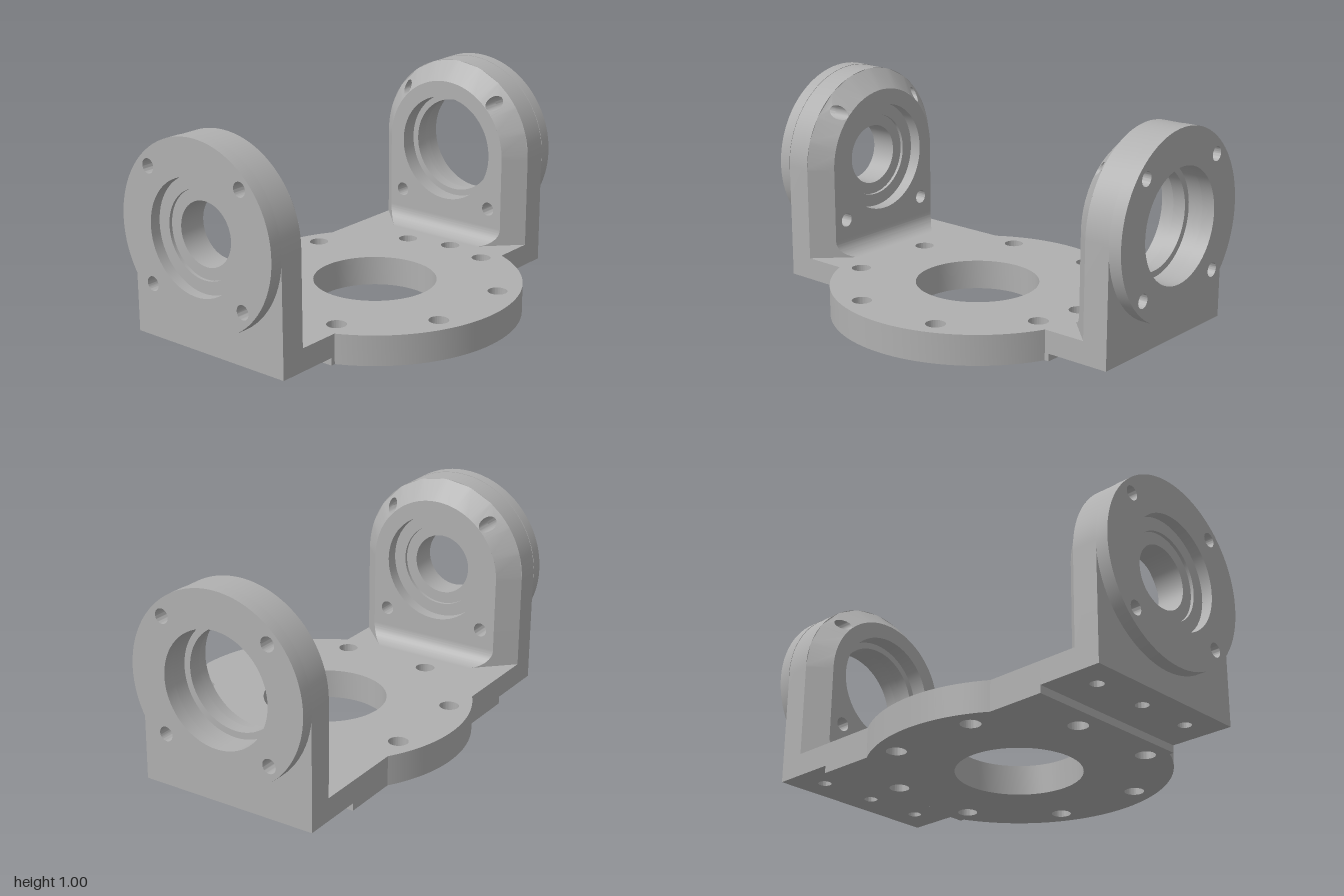
import * as THREE from 'three';
import { mergeGeometries, toCreasedNormals } from 'three/addons/utils/BufferGeometryUtils.js';

const CX = -0.145;      // arm centre line
const CY = 0.575;       // bore axis height
const R = 0.427;        // arm half width and arch radius
const CHAMFER = 0.09;
const Z_FACE = 0.73, Z_BODY = 0.82, Z_FLANGE = 0.94, Z_END = 1;
const TOP = 0.14, STEP = 0.035, PAD_Z = 0.64;
const BORE = 0.26, SCREW = 0.033, SCREW_OFF = 0.2625;

const metal = new THREE.MeshStandardMaterial({ color: 0xb0b0b0, side: THREE.DoubleSide });
metal.name = 'grey metal';

function add(parent, name, geometry) {
  const mesh = new THREE.Mesh(toCreasedNormals(geometry, 0.5), metal);
  mesh.name = name;
  parent.add(mesh);
  return mesh;
}

function hole(shape, x, y, r) {
  shape.holes.push(new THREE.Path().absarc(x, y, r, 0, Math.PI * 2, true));
}

function extrude(shape, depth) {
  return new THREE.ExtrudeGeometry(shape, { depth, bevelEnabled: false, curveSegments: 40 });
}

function moveVertices(geometry, rule) {
  const p = geometry.attributes.position;
  const v = new THREE.Vector3();
  for (let i = 0; i < p.count; i++) {
    rule(v.fromBufferAttribute(p, i));
    p.setXYZ(i, v.x, v.y, v.z);
  }
  return geometry;
}

// Depth of the 45 degree chamfer that runs round the inner edge of an arm
function chamferZ(x, y) {
  const inset = R - (y > CY ? Math.hypot(x, y - CY) : Math.abs(x));
  return Z_BODY - inset;
}

function arch(r) {
  const s = new THREE.Shape();
  s.moveTo(-r, TOP);
  s.lineTo(r, TOP);
  s.absarc(0, CY, r, 0, Math.PI, false);
  s.closePath();
  return s;
}

function drill(shape, rows) {
  hole(shape, 0, CY, BORE);
  for (const sy of rows) for (const sx of [-1, 1]) hole(shape, sx * SCREW_OFF, CY + sy * SCREW_OFF, SCREW);
  return shape;
}

function chamferGeometry() {
  const parts = [];
  const r = R - CHAMFER, count = 10, step = Math.PI / count;
  for (let i = 0; i < count; i++) {
    const s = new THREE.Shape();
    s.absarc(0, CY, R, i * step, (i + 1) * step, false);
    s.absarc(0, CY, r, (i + 1) * step, i * step, true);
    s.closePath();
    if (i === 2 || i === 7) hole(s, (i === 2 ? 1 : -1) * SCREW_OFF, CY + SCREW_OFF, SCREW);
    parts.push(new THREE.ShapeGeometry(s, i === 2 || i === 7 ? 16 : 5));
  }
  for (const side of [-1, 1]) {
    const plane = new THREE.PlaneGeometry(CHAMFER, CY - TOP);
    parts.push(plane.translate(side * (R - CHAMFER / 2), (CY + TOP) / 2, 0));
  }
  const g = mergeGeometries(parts);
  g.index.array.reverse(); // face inwards
  return moveVertices(g, (v) => { v.z = chamferZ(v.x, v.y); });
}

// Ring turned about the bore axis from [radius, z] points
function turned(points) {
  const profile = points.map(([r, z]) => new THREE.Vector2(r, z));
  return new THREE.LatheGeometry(profile, 64).rotateX(Math.PI / 2).translate(0, CY, 0);
}

function makeArm(name, seatName, seatProfile) {
  const arm = new THREE.Group();
  arm.name = name;

  add(arm, 'armBody', extrude(drill(arch(R), [-1, 1]), Z_FLANGE - Z_BODY).translate(0, 0, Z_BODY));
  add(arm, 'armInnerFace', extrude(drill(arch(R - CHAMFER), [-1]), Z_BODY - Z_FACE).translate(0, 0, Z_FACE));
  add(arm, 'armChamfer', chamferGeometry());

  const disc = new THREE.Shape().absarc(0, CY, R + 0.002, 0, Math.PI * 2, false);
  add(arm, 'flangeDisc', extrude(drill(disc, [-1, 1]), Z_END - Z_FLANGE).translate(0, 0, Z_FLANGE));

  // Upper screw holes continue until they break out through the chamfer
  for (const sx of [-1, 1]) {
    const tube = new THREE.CylinderGeometry(SCREW, SCREW, 1, 32, 1, true);
    tube.rotateX(Math.PI / 2).translate(sx * SCREW_OFF, CY + SCREW_OFF, 0);
    tube.index.array.reverse();
    add(arm, 'screwHole', moveVertices(tube, (v) => { v.z = v.z > 0 ? Z_BODY : chamferZ(v.x, v.y); }));
  }

  // Concave fillet between arm and plate, with sides following the chamfer
  const f = new THREE.Shape();
  f.moveTo(Z_FACE, TOP);
  f.lineTo(Z_FACE - 0.08, TOP);
  f.absarc(Z_FACE - 0.08, TOP + 0.08, 0.08, -Math.PI / 2, 0, false);
  f.closePath();
  const fillet = new THREE.ExtrudeGeometry(f, { depth: 1, bevelEnabled: false, curveSegments: 12 });
  fillet.rotateY(-Math.PI / 2);
  add(arm, 'fillet', moveVertices(fillet, (v) => { v.x = (v.x < -0.5 ? -1 : 1) * (R - (Z_BODY - v.z)); }));

  // Foot with three blind holes in its underside
  const foot = new THREE.Shape();
  foot.moveTo(-R, -Z_FLANGE);
  foot.lineTo(R, -Z_FLANGE);
  foot.lineTo(R, -PAD_Z);
  foot.lineTo(-R, -PAD_Z);
  foot.closePath();
  for (const x of [-0.283, 0, 0.283]) hole(foot, x, -0.81, 0.03);
  add(arm, 'foot', extrude(foot, TOP - STEP).rotateX(-Math.PI / 2).translate(0, STEP, 0));

  add(arm, seatName, turned(seatProfile));
  arm.position.x = CX;
  return arm;
}

function makeBase() {
  const base = new THREE.Group();
  base.name = 'base';
  const r = 0.68, right = CX + R, left = CX - R;
  const a = Math.acos(right / r), b = Math.acos(left / r);

  // Round plate merged with the straight pad under the arms
  const s = new THREE.Shape();
  s.absarc(0, 0, r, -a, a, false);
  s.lineTo(right, PAD_Z);
  s.lineTo(left, PAD_Z);
  s.absarc(0, 0, r, b, Math.PI * 2 - b, false);
  s.lineTo(left, -PAD_Z);
  s.lineTo(right, -PAD_Z);
  s.closePath();
  hole(s, 0, 0, 0.285);
  for (let i = 0; i < 8; i++) {
    const t = (i + 0.5) * Math.PI / 4;
    hole(s, 0.578 * Math.cos(t), 0.578 * Math.sin(t), 0.045);
  }
  hole(s, 0, 0.585, 0.045);
  add(base, 'roundPlate', extrude(s, TOP).rotateX(-Math.PI / 2));

  // Conical floor of the blind locating hole
  const floor = [[0, 0], [0.045, 0], [0.045, 0.05], [0, 0.025]].map(([x, y]) => new THREE.Vector2(x, y));
  add(base, 'blindHoleFloor', new THREE.LatheGeometry(floor, 32).translate(0, 0, -0.585));
  return base;
}

export function createModel() {
  const model = new THREE.Group();
  model.name = 'yokeBracket';
  model.add(makeBase());

  const hub = [[BORE, 0.79], [BORE, 0.95], [0.2, 0.95], [0.2, 0.935], [0.145, 0.935],
    [0.145, 0.805], [0.2, 0.805], [0.2, 0.79], [BORE, 0.79]];
  model.add(makeArm('frontArm', 'bearingHub', hub));

  const shoulder = [[BORE, 0.81], [BORE, 0.87], [0.23, 0.87], [0.23, 0.81], [BORE, 0.81]];
  const back = makeArm('backArm', 'bearingShoulder', shoulder);
  back.rotation.y = Math.PI;
  model.add(back);
  return model;
}
